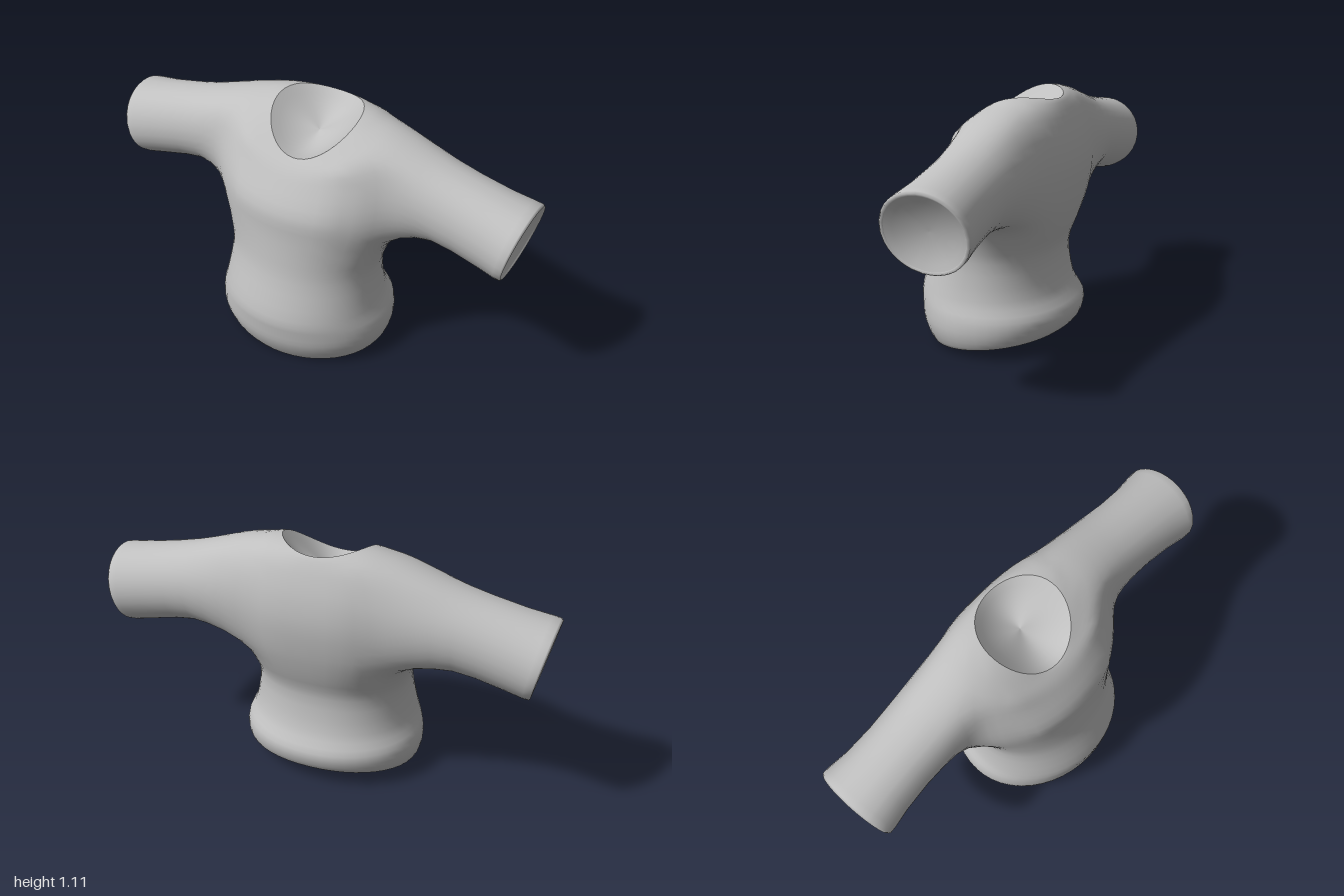
import * as THREE from 'three';

const COLS = 48, SUB = 3;

// Torso rings, hem to neck: halfWidth, zFront, zBack, yFront, yBack, sideLift, backSquareness
const RINGS = [
  [0.36, 0.28, -0.30, 0.012, 0.088, 0, 0.95],
  [0.39, 0.30, -0.322, 0.0, 0.08, 0, 0.95],
  [0.41, 0.342, -0.345, 0.085, 0.115, 0, 0.95],
  [0.405, 0.354, -0.35, 0.17, 0.175, 0, 0.95],
  [0.372, 0.354, -0.30, 0.25, 0.26, 0, 0.92],
  [0.35, 0.30, -0.275, 0.42, 0.42, 0, 0.9],
  [0.38, 0.28, -0.31, 0.54, 0.54, 0, 0.85],
  [0.43, 0.27, -0.34, 0.64, 0.66, 0, 0.8],
  [0.45, 0.262, -0.355, 0.75, 0.80, 0, 0.8],
  [0.435, 0.20, -0.34, 0.86, 0.92, 0.04, 0.8],
  [0.39, 0.165, -0.305, 0.91, 1.02, 0.09, 0.85],
  [0.29, 0.135, -0.275, 0.94, 1.075, 0.073, 0.95],
  [0.20, 0.12, -0.26, 0.95, 1.09, 0.075, 1],
];

// Sleeve rings, shoulder to cuff: x, centreY, radiusY, centreZ, radiusZ, tilt
const SLEEVE = [
  [0.45, 0.837, 0.217, -0.125, 0.195, 0],
  [0.51, 0.825, 0.198, -0.126, 0.18, 0],
  [0.60, 0.81, 0.183, -0.122, 0.17, 0.005],
  [0.70, 0.79, 0.176, -0.12, 0.167, 0.012],
  [0.83, 0.761, 0.174, -0.118, 0.173, 0.025],
  [0.92, 0.744, 0.174, -0.117, 0.186, 0.034],
  [0.95, 0.74, 0.171, -0.117, 0.188, 0.038],
  [0.957, 0.738, 0.164, -0.117, 0.181, 0.04],
  [0.95, 0.737, 0.155, -0.117, 0.171, 0.038],
];

// Armhole in the torso grid
const ROW0 = 7 * SUB - 1, ROW1 = 10 * SUB, COL0 = -7, COL1 = 3;

function sampleRing(row) {
  const i = Math.min(Math.floor(row / SUB), RINGS.length - 2);
  const t = row / SUB - i;
  const key = (j) => RINGS[THREE.MathUtils.clamp(j, 0, RINGS.length - 1)];
  return RINGS[0].map((_, c) => {
    const [a, b, d, e] = [key(i - 1)[c], key(i)[c], key(i + 1)[c], key(i + 2)[c]];
    return b + 0.5 * t * (d - a + t * (2 * a - 5 * b + 4 * d - e + t * (3 * (b - d) + e - a)));
  });
}

function torsoPoint(ring, k) {
  const [w, zf, zb, yf, yb, lift, square] = ring;
  const a = (k / COLS) * Math.PI * 2;
  const e = Math.sin(a) < 0 ? square : 1;
  const pow = (v) => Math.sign(v) * Math.pow(Math.abs(v), e);
  const x = w * pow(Math.cos(a));
  const z = (zf + zb) / 2 + ((zf - zb) / 2) * pow(Math.sin(a));
  const y = yb + ((yf - yb) * (z - zb)) / (zf - zb) + lift * Math.cos(a) ** 2;
  return new THREE.Vector3(x, Math.max(y, 0), z);
}

// Soften the cloth where the sleeves join the torso
function relaxShoulders(points, index, passes) {
  const links = points.map(() => new Set());
  for (let i = 0; i < index.length; i += 3) {
    for (let e = 0; e < 3; e++) {
      const a = index[i + e], b = index[i + ((e + 1) % 3)];
      links[a].add(b);
      links[b].add(a);
    }
  }
  const soft = points.map((p) => p.y > 0.56 && Math.abs(p.x) > 0.25 && Math.abs(p.x) < 0.56);
  for (let s = 0; s < passes; s++) {
    const old = points.map((p) => p.clone());
    points.forEach((p, i) => {
      if (!soft[i] || links[i].size === 0) return;
      const mean = new THREE.Vector3();
      links[i].forEach((j) => mean.add(old[j]));
      p.lerp(mean.divideScalar(links[i].size), 0.5);
    });
  }
}

function makeMesh(name, points, index, material) {
  const geo = new THREE.BufferGeometry().setFromPoints(points);
  geo.setIndex(index);
  geo.computeVertexNormals();
  const mesh = new THREE.Mesh(geo, material);
  mesh.name = name;
  return mesh;
}

// Shallow hollow lining that closes an opening
function lining(name, rim, push, material) {
  const n = rim.length, steps = 6, points = [], index = [];
  const centre = rim.reduce((s, p) => s.add(p), new THREE.Vector3()).divideScalar(n);
  for (let s = 0; s <= steps; s++) {
    const t = s / steps;
    rim.forEach((p) => points.push(p.clone().lerp(centre, t).addScaledVector(push, 1 - (1 - t) ** 2)));
  }
  // Keep the face side towards the opening
  const turn = new THREE.Vector3();
  rim.forEach((p, i) => turn.add(p.clone().sub(centre).cross(rim[(i + 1) % n].clone().sub(centre))));
  const flip = turn.dot(push) > 0;
  for (let s = 0; s < steps; s++) {
    for (let i = 0; i < n; i++) {
      const a = s * n + i, b = s * n + ((i + 1) % n), c = b + n, d = a + n;
      if (flip) index.push(a, d, c, a, c, b);
      else index.push(a, c, d, a, b, c);
    }
  }
  return makeMesh(name, points, index, material);
}

export function createModel() {
  const group = new THREE.Group();
  group.name = 'shirt';
  const cloth = new THREE.MeshStandardMaterial({ color: 0xc0c0c0 });
  cloth.name = 'grey cloth';
  cloth.side = THREE.DoubleSide;

  // Torso grid with an armhole on each side
  const points = [], index = [];
  const rows = (RINGS.length - 1) * SUB;
  for (let r = 0; r <= rows; r++) {
    const ring = sampleRing(r);
    for (let k = 0; k < COLS; k++) points.push(torsoPoint(ring, k));
  }
  const id = (r, k) => r * COLS + ((k + COLS) % COLS);
  const inHole = (r, k) => {
    const near = k > COLS * 0.75 - 1 ? k - COLS : k;
    const mirrored = COLS / 2 - 1 - k;
    const within = (c) => c >= COL0 && c < COL1;
    return r >= ROW0 && r < ROW1 && (within(near) || within(mirrored));
  };
  for (let r = 0; r < rows; r++) {
    for (let k = 0; k < COLS; k++) {
      if (inHole(r, k)) continue;
      const a = id(r, k), b = id(r, k + 1), c = id(r + 1, k + 1), d = id(r + 1, k);
      index.push(a, d, c, a, c, b);
    }
  }

  // Sleeves grown from the armhole edges
  const cuffs = [];
  for (const side of [1, -1]) {
    const at = (r, k) => id(r, side > 0 ? k : COLS / 2 - k);
    let loop = [];
    for (let k = COL1; k > COL0; k--) loop.push(at(ROW0, k));
    for (let r = ROW0; r < ROW1; r++) loop.push(at(r, COL0));
    for (let k = COL0; k < COL1; k++) loop.push(at(ROW1, k));
    for (let r = ROW1; r > ROW0; r--) loop.push(at(r, COL1));
    const angles = loop.map((v) => Math.atan2((points[v].y - 0.835) / 0.2, (points[v].z + 0.12) / 0.19));
    const n = loop.length;
    for (const [x, cy, ry, cz, rz, tilt] of SLEEVE) {
      const next = angles.map((a) => {
        const s = Math.sin(a);
        points.push(new THREE.Vector3(side * (x + tilt * s), cy + ry * s, cz + rz * Math.cos(a)));
        return points.length - 1;
      });
      for (let i = 0; i < n; i++) {
        const j = (i + 1) % n;
        const a = loop[i], b = loop[j], c = next[j], d = next[i];
        if (side > 0) index.push(a, b, c, a, c, d);
        else index.push(a, c, b, a, d, c);
      }
      loop = next;
    }
    cuffs.push([side, loop.map((v) => points[v])]);
  }
  relaxShoulders(points, index, 5);
  group.add(makeMesh('shirtBody', points, index, cloth));

  // Linings inside the hem, neck and cuffs
  const ringPoints = (r) => points.slice(r * COLS, (r + 1) * COLS);
  group.add(lining('hemLining', ringPoints(0), new THREE.Vector3(0, 0.07, 0), cloth));
  group.add(lining('neckLining', ringPoints(rows), new THREE.Vector3(0, -0.08, -0.02), cloth));
  for (const [side, rim] of cuffs) {
    const name = side > 0 ? 'leftCuffLining' : 'rightCuffLining';
    group.add(lining(name, rim, new THREE.Vector3(-side * 0.04, 0, 0), cloth));
  }
  return group;
}
